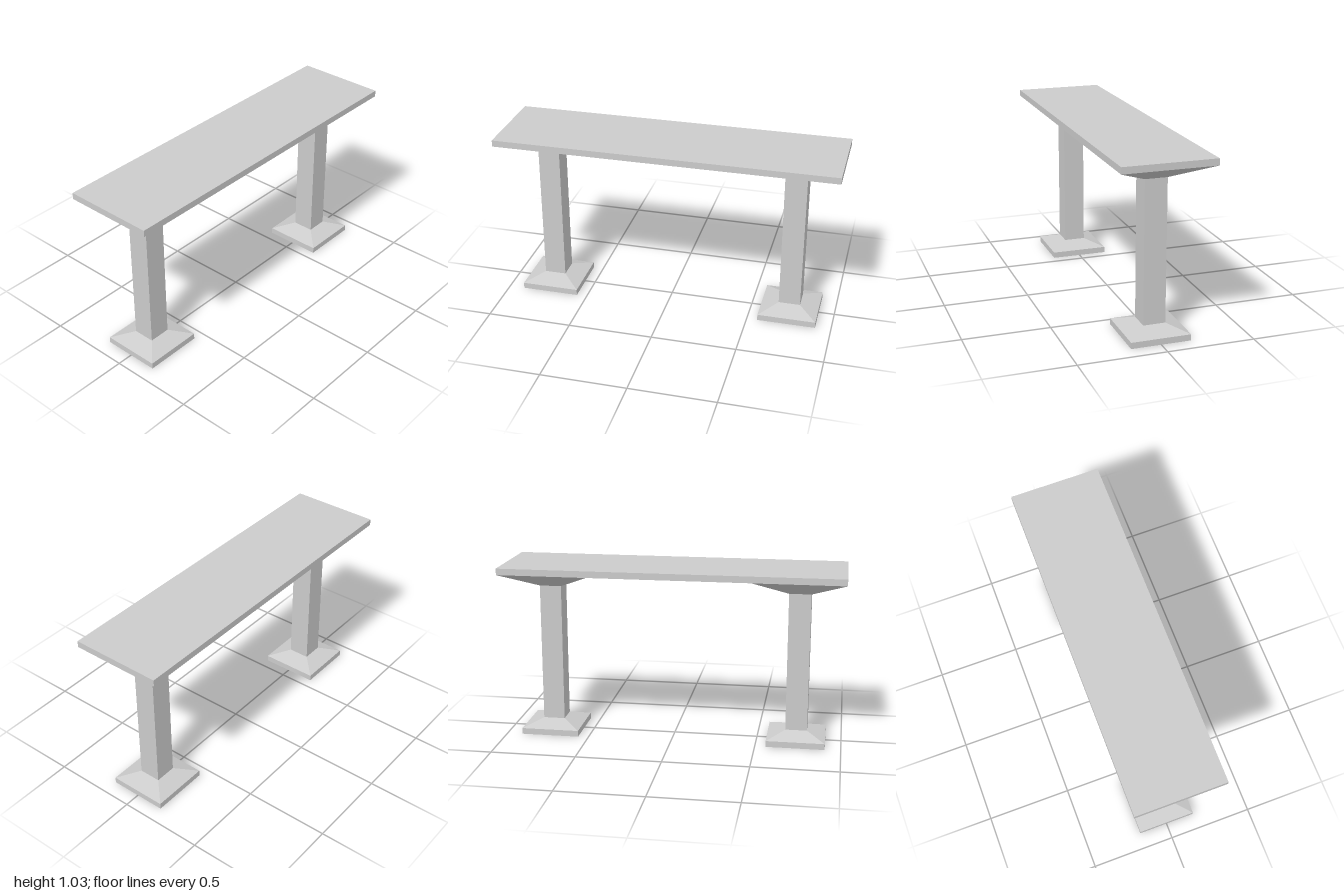
import * as THREE from 'three';

const material = new THREE.MeshStandardMaterial({ color: 0xcccccc, flatShading: true });

// Square block between two heights, with its own half-width at bottom and top
function squareBlock(name, y0, y1, halfBottom, halfTop) {
  const geometry = new THREE.CylinderGeometry(halfTop * Math.SQRT2, halfBottom * Math.SQRT2, y1 - y0, 4);
  geometry.rotateY(Math.PI / 4);
  const mesh = new THREE.Mesh(geometry, material);
  mesh.name = name;
  mesh.position.y = (y0 + y1) / 2;
  return mesh;
}

export function createModel() {
  const model = new THREE.Group();
  model.name = 'table';

  // Long flat top
  const top = new THREE.Mesh(new THREE.BoxGeometry(0.53, 0.038, 2), material);
  top.name = 'tableTop';
  top.position.y = 1.014;
  model.add(top);

  // Two pedestals, each with a stepped foot and a flared head
  for (const [name, side] of [['frontPedestal', 1], ['backPedestal', -1]]) {
    const pedestal = new THREE.Group();
    pedestal.name = name;
    pedestal.position.z = side * 0.735;
    pedestal.add(
      squareBlock('footPlate', 0, 0.036, 0.172, 0.172),
      squareBlock('footTaper', 0.036, 0.075, 0.172, 0.064),
      squareBlock('column', 0.075, 0.898, 0.064, 0.064),
      squareBlock('flaredHead', 0.898, 0.995, 0.064, 0.265)
    );
    model.add(pedestal);
  }
  return model;
}
